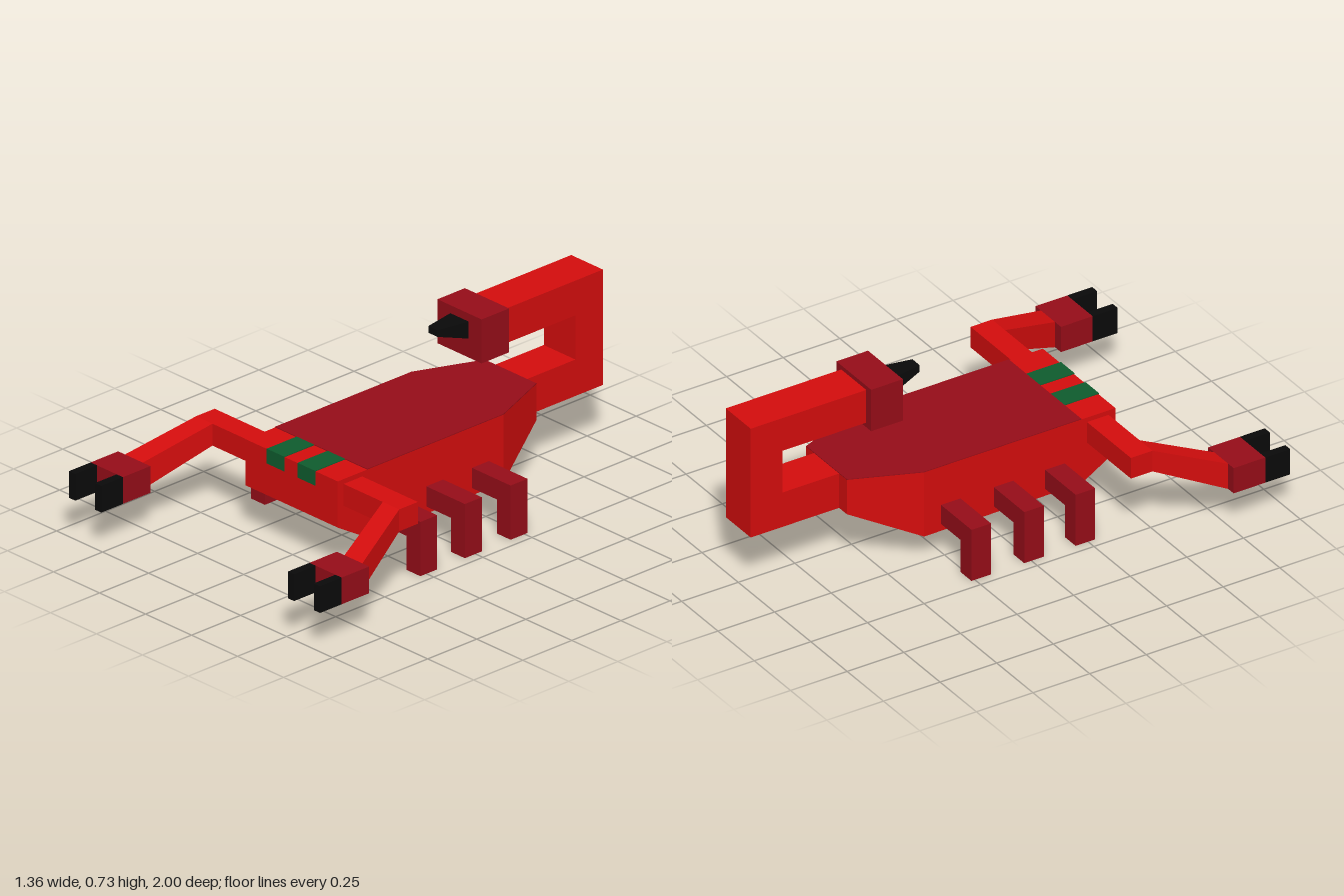
import * as THREE from 'three';

const material = (color) => new THREE.MeshStandardMaterial({ color, flatShading: true, side: THREE.DoubleSide });

// Solid through rectangular sections [z, x0, x1, y0, y1], listed front to back.
function loft(sections) {
  const pos = [];
  const rings = sections.map(([z, x0, x1, y0, y1]) => [[x0, y0, z], [x1, y0, z], [x1, y1, z], [x0, y1, z]]);
  const quad = (a, b, c, d) => pos.push(...a, ...b, ...c, ...a, ...c, ...d);
  for (let i = 0; i < rings.length - 1; i++) {
    for (let k = 0; k < 4; k++) {
      const n = (k + 1) % 4;
      quad(rings[i][k], rings[i + 1][k], rings[i + 1][n], rings[i][n]);
    }
  }
  const last = rings[rings.length - 1];
  quad(...rings[0]);
  quad(last[1], last[0], last[3], last[2]);
  const geometry = new THREE.BufferGeometry();
  geometry.setAttribute('position', new THREE.Float32BufferAttribute(pos, 3));
  geometry.computeVertexNormals();
  return geometry;
}

function box(x0, x1, y0, y1, z0, z1) {
  return new THREE.BoxGeometry(x1 - x0, y1 - y0, z1 - z0)
    .translate((x0 + x1) / 2, (y0 + y1) / 2, (z0 + z1) / 2);
}

// Extrusion of a 2D outline
function extrude(points, depth) {
  const shape = new THREE.Shape(points.map(([x, y]) => new THREE.Vector2(x, y)));
  return new THREE.ExtrudeGeometry(shape, { depth, bevelEnabled: false });
}

export function createModel() {
  const model = new THREE.Group();
  model.name = 'scorpion';
  const red = material(0xd40d0d);
  const darkRed = material(0x960d18);
  const green = material(0x0f5c2e);
  const black = material(0x0a0a0a);

  function add(name, geometry, mat, parent = model) {
    const mesh = new THREE.Mesh(geometry, mat);
    mesh.name = name;
    parent.add(mesh);
  }

  // Body with sloped chin and tapered rear
  add('body', loft([
    [0.505, -0.25, 0.25, 0.2, 0.39],
    [0.355, -0.25, 0.25, 0.11, 0.39],
    [-0.34, -0.25, 0.25, 0.11, 0.39],
    [-0.61, -0.14, 0.14, 0.24, 0.39],
  ]), red);

  // Thin dark plate over the back (outline in x and -z)
  const plate = extrude([[-0.25, -0.355], [0.25, -0.355], [0.25, 0.34], [0.14, 0.61], [-0.14, 0.61], [-0.25, 0.34]], 0.003);
  plate.rotateX(-Math.PI / 2).translate(0, 0.39, 0);
  add('backPlate', plate, darkRed);

  // Eyes wrap over the front edge
  add('rightEye', box(-0.133, -0.038, 0.332, 0.393, 0.355, 0.508), green);
  add('leftEye', box(0.035, 0.13, 0.332, 0.393, 0.355, 0.508), green);

  // Curled tail (outline in -z and y)
  const tail = extrude([
    [0.6, 0.24], [1, 0.24], [1, 0.715], [0.48, 0.715],
    [0.48, 0.572], [0.86, 0.572], [0.86, 0.39], [0.6, 0.39],
  ], 0.172);
  tail.rotateY(Math.PI / 2).translate(-0.086, 0, 0);
  add('tail', tail, red);
  add('tailTip', box(-0.12, 0.12, 0.552, 0.733, -0.49, -0.35), darkRed);
  add('stinger', loft([
    [-0.215, -0.025, 0.025, 0.672, 0.7],
    [-0.35, -0.05, 0.05, 0.63, 0.7],
  ]), black);

  // Legs and arms on both sides
  for (const [side, s] of [['left', 1], ['right', -1]]) {
    const span = (a, b) => (s > 0 ? [a, b] : [-b, -a]);

    for (const z of [0.238, 0.011, -0.222]) {
      const leg = new THREE.Group();
      leg.name = side + 'Leg';
      model.add(leg);
      add('upperLeg', box(...span(0.25, 0.46), 0.14, 0.223, z - 0.043, z + 0.043), darkRed, leg);
      add('lowerLeg', box(...span(0.385, 0.46), 0, 0.14, z - 0.043, z + 0.043), darkRed, leg);
    }

    const arm = new THREE.Group();
    arm.name = side + 'Arm';
    model.add(arm);
    add('upperArm', box(...span(0.25, 0.552), 0.28, 0.37, 0.38, 0.475), red, arm);
    add('forearm', loft([
      [0.75, ...span(0.548, 0.645), 0.16, 0.27],
      [0.475, ...span(0.463, 0.552), 0.28, 0.37],
    ]), red, arm);
    add('palm', box(...span(0.507, 0.682), 0.16, 0.27, 0.75, 0.89), darkRed, arm);
    add('innerPincer', box(...span(0.507, 0.541), 0.16, 0.27, 0.89, 1), black, arm);
    add('outerPincer', box(...span(0.648, 0.682), 0.16, 0.27, 0.89, 1), black, arm);
  }

  return model;
}
